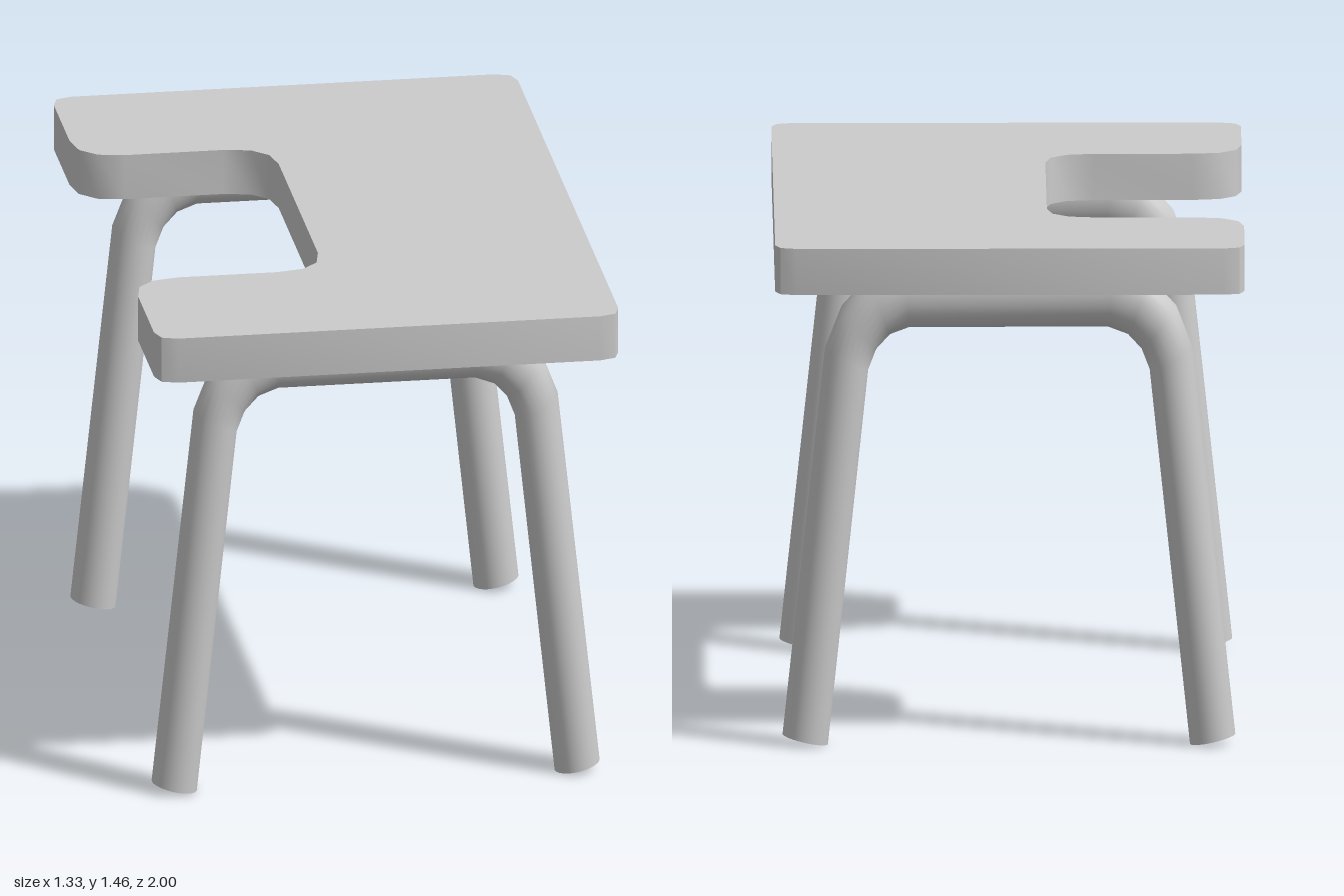
import * as THREE from 'three';
import { toCreasedNormals } from 'three/addons/utils/BufferGeometryUtils.js';

// Closed outline whose corners [x, y, radius, segments] are rounded off
function roundedOutline(corners) {
  const pts = [];
  const n = corners.length;
  corners.forEach(([x, y, r, seg], i) => {
    const c = new THREE.Vector2(x, y);
    const toward = (j) => {
      const q = corners[(j + n) % n];
      return new THREE.Vector2(q[0], q[1]).sub(c).setLength(r).add(c);
    };
    pts.push(...new THREE.QuadraticBezierCurve(toward(i - 1), c, toward(i + 1)).getPoints(seg));
  });
  return new THREE.Shape(pts);
}

// Open tube with one ring per path point, lying in the xy plane
function tubeAlong(path, radius, sides) {
  const pos = [], index = [];
  const dir = (a, b) => b.clone().sub(a).normalize();
  path.forEach((p, i) => {
    const t = new THREE.Vector2();
    if (i > 0) t.add(dir(path[i - 1], p));
    if (i < path.length - 1) t.add(dir(p, path[i + 1]));
    t.normalize();
    for (let s = 0; s < sides; s++) {
      const a = (s / sides) * Math.PI * 2;
      const u = Math.cos(a) * radius;
      pos.push(p.x - t.y * u, p.y + t.x * u, Math.sin(a) * radius);
      if (i === 0) continue;
      const a0 = (i - 1) * sides + s, a1 = (i - 1) * sides + (s + 1) % sides;
      index.push(a0, a0 + sides, a1, a1, a0 + sides, a1 + sides);
    }
  });
  const g = new THREE.BufferGeometry();
  g.setAttribute('position', new THREE.Float32BufferAttribute(pos, 3));
  g.setIndex(index);
  return g;
}

export function createModel() {
  const group = new THREE.Group();
  const topMat = new THREE.MeshStandardMaterial({ color: 0xcccccc });
  const legMat = new THREE.MeshStandardMaterial({ color: 0xcccccc, side: THREE.DoubleSide });

  // Table top: slab with a deep notch in its -x side
  const L = -0.667, R = 0.663, N = -0.11, H = 0.505;
  const outline = roundedOutline([
    [L, -1, 0.06, 2], [R, -1, 0.06, 2], [R, 1, 0.06, 2], [L, 1, 0.06, 2],
    [L, H, 0.138, 3], [N, H, 0.138, 3], [N, -H, 0.138, 3], [L, -H, 0.138, 3],
  ]);
  const slab = new THREE.ExtrudeGeometry(outline, { depth: 0.133, bevelEnabled: false });
  slab.rotateX(-Math.PI / 2);
  const top = new THREE.Mesh(toCreasedNormals(slab, 0.6), topMat);
  top.name = 'tableTop';
  top.position.y = 1.33;
  group.add(top);

  // Bent tube legs: mirrored path, stretched in height so the bar is oval
  const stretch = 1.46;
  const half = [[0.577, 0.015], [0.46, 1.11], [0.425, 1.2], [0.366, 1.265], [0.29, 1.295]]
    .map(([x, y]) => new THREE.Vector2(x, y / stretch));
  const mirrored = half.map((p) => new THREE.Vector2(-p.x, p.y));
  const legGeo = tubeAlong([...mirrored, ...half.reverse()], 0.065, 24);
  legGeo.scale(1, stretch, 1);
  legGeo.computeVertexNormals();
  for (const [name, z] of [['frontLegs', 0.73], ['backLegs', -0.793]]) {
    const legs = new THREE.Mesh(legGeo, legMat);
    legs.name = name;
    legs.position.z = z;
    group.add(legs);
  }
  return group;
}
